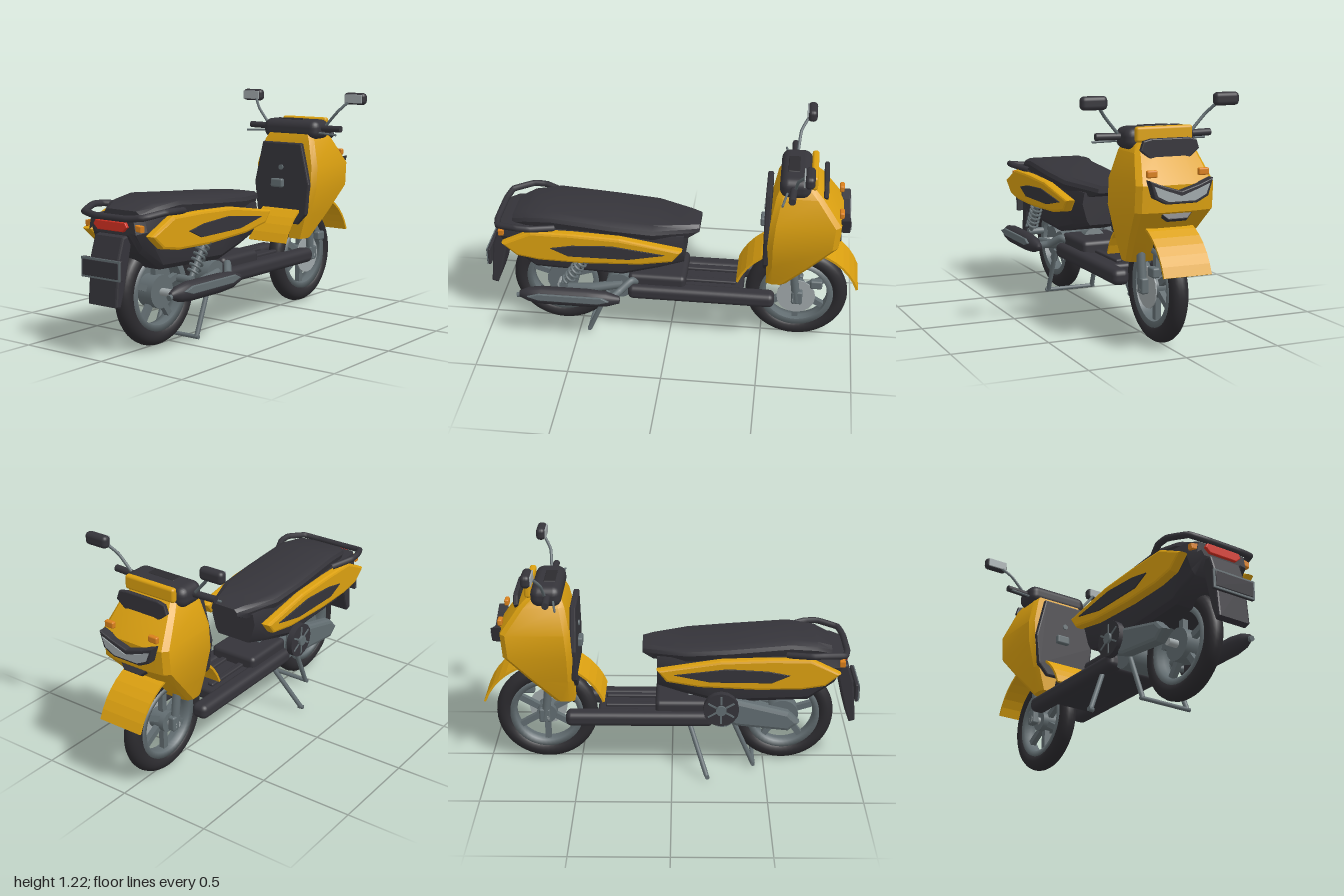
import * as THREE from 'three';
import { toCreasedNormals } from 'three/addons/utils/BufferGeometryUtils.js';
import { RoundedBoxGeometry } from 'three/addons/geometries/RoundedBoxGeometry.js';

const paint = (name, color, side = THREE.FrontSide) => {
  const m = new THREE.MeshStandardMaterial({ color, side });
  m.name = name;
  return m;
};
const V = (p) => new THREE.Vector3(...p);

// Joins rings of [x, y, z] points into a closed solid, facing outward
function loft(rings) {
  const n = rings[0].length, tris = [];
  for (let i = 0; i < rings.length - 1; i++)
    for (let j = 0; j < n; j++) {
      const k = (j + 1) % n, a = rings[i], b = rings[i + 1];
      tris.push([a[j], a[k], b[k]], [a[j], b[k], b[j]]);
    }
  const first = rings[0], last = rings[rings.length - 1];
  for (let j = 1; j < n - 1; j++) tris.push([first[0], first[j + 1], first[j]], [last[0], last[j], last[j + 1]]);
  let volume = 0;
  for (const [a, b, c] of tris) volume += V(a).dot(V(b).cross(V(c)));
  if (volume < 0) tris.forEach((t) => t.reverse());
  const g = new THREE.BufferGeometry();
  g.setAttribute('position', new THREE.Float32BufferAttribute(tris.flat(2), 3));
  g.computeVertexNormals();
  return toCreasedNormals(g, 0.5);
}

// Extrudes an outline, centred on its own thickness, with a small bevel
function plate(points, depth, bevel = 0) {
  const shape = new THREE.Shape(points.map((p) => new THREE.Vector2(...p)));
  const g = new THREE.ExtrudeGeometry(shape, {
    depth: depth - 2 * bevel, bevelEnabled: bevel > 0, bevelThickness: bevel,
    bevelSize: bevel, bevelOffset: -bevel, bevelSegments: 2,
  });
  return g.translate(0, 0, -depth / 2 + bevel);
}
// Outline given as [z, y], thickness along x
const sidePlate = (...args) => plate(...args).rotateY(-Math.PI / 2);
const mirrored = (half) => [...half, ...half.filter((p) => p[0] > 0).map(([x, y]) => [-x, y]).reverse()];

export function createModel() {
  const model = new THREE.Group();
  model.name = 'scooter';
  const yellow = paint('yellow paint', 0xdba010);
  const black = paint('black plastic', 0x35343a);
  const rubber = paint('tyre rubber', 0x2c2b2f);
  const steel = paint('grey steel', 0x626d71);
  const silver = paint('light silver', 0xa0a8aa);
  const red = paint('red lens', 0xd23022);
  const orange = paint('orange lens', 0xd9801c);
  const yellowSheet = paint('yellow sheet', 0xdba010, THREE.DoubleSide);

  const add = (name, mat, geo, x = 0, y = 0, z = 0, parent = model) => {
    const m = new THREE.Mesh(geo, mat);
    m.name = name;
    m.position.set(x, y, z);
    parent.add(m);
    return m;
  };
  const box = (name, mat, w, h, d, x, y, z, r = 0.01) =>
    add(name, mat, new RoundedBoxGeometry(w, h, d, 3, r), x, y, z);
  const rod = (name, mat, a, b, r, r2 = r) => {
    const d = V(b).sub(V(a));
    const m = add(name, mat, new THREE.CylinderGeometry(r2, r, d.length(), 16), ...V(a).addScaledVector(d, 0.5));
    m.quaternion.setFromUnitVectors(new THREE.Vector3(0, 1, 0), d.normalize());
    return m;
  };
  const tube = (name, mat, pts, r, tension = 0.3) =>
    add(name, mat, new THREE.TubeGeometry(new THREE.CatmullRomCurve3(pts.map(V), false, 'catmullrom', tension), 48, r, 10));

  // Wheels
  const wheel = (name, z, spokes, hubRadius) => {
    const g = new THREE.Group();
    g.name = name;
    g.position.set(0, 0.277, z);
    model.add(g);
    add('tyre', rubber, new THREE.TorusGeometry(0.231, 0.046, 16, 48).rotateY(Math.PI / 2), 0, 0, 0, g);
    const profile = [[0.17, -0.035], [0.2, -0.04], [0.205, 0], [0.2, 0.04], [0.17, 0.035], [0.165, 0], [0.17, -0.035]];
    const rim = new THREE.LatheGeometry(profile.map((p) => new THREE.Vector2(...p)), 48).rotateZ(Math.PI / 2);
    add('rim', steel, rim, 0, 0, 0, g);
    for (let i = 0; i < spokes; i++) {
      const a = (i / spokes) * Math.PI * 2;
      add('spoke', steel, new THREE.BoxGeometry(0.03, 0.14, 0.032).translate(0, 0.105, 0).rotateX(a), 0, 0, 0, g);
    }
    add('hub', steel, new THREE.CylinderGeometry(hubRadius, hubRadius, 0.09, 24).rotateZ(Math.PI / 2), 0, 0, 0, g);
    add('axle', silver, new THREE.CylinderGeometry(0.02, 0.02, 0.2, 16).rotateZ(Math.PI / 2), 0, 0, 0, g);
  };
  wheel('frontWheel', -0.685, 6, 0.055);
  wheel('rearWheel', 0.6, 5, 0.085);

  // Front mudguard, an arched strip
  const arc = (r, a0, a1) => Array.from({ length: 17 }, (_, i) => {
    const a = THREE.MathUtils.degToRad(a0 + ((a1 - a0) * i) / 16);
    return [-0.685 + r * Math.cos(a), 0.275 + r * Math.sin(a)];
  });
  add('frontMudguard', yellowSheet, sidePlate([...arc(0.345, 20, 160), ...arc(0.333, 160, 20)], 0.25));

  // Front fork, brake disc and caliper
  for (const s of [-1, 1]) {
    rod('forkLeg', steel, [s * 0.08, 0.26, -0.69], [s * 0.08, 0.56, -0.65], 0.022);
    box('forkFoot', steel, 0.04, 0.08, 0.06, s * 0.08, 0.29, -0.69);
  }
  rod('brakeDisc', silver, [0.052, 0.277, -0.685], [0.058, 0.277, -0.685], 0.105);
  box('brakeCaliper', steel, 0.04, 0.05, 0.065, 0.07, 0.375, -0.79);

  // Leg shield: rows of height, half width, rear z, front z
  const shield = [
    [0.395, 0.13, -0.52, -0.635], [0.53, 0.17, -0.52, -0.76], [0.68, 0.205, -0.52, -0.895],
    [0.81, 0.205, -0.53, -0.905], [0.95, 0.165, -0.555, -0.805], [1.01, 0.13, -0.58, -0.745],
  ];
  add('legShield', yellow, loft(shield.map(([y, w, b, f]) =>
    [[w * 0.9, b], [w, b - 0.03], [w, f + 0.04], [w * 0.88, f + 0.012], [w * 0.45, f]]
      .reduce((ring, [x, z]) => [[-x, y, z], ...ring, [x, y, z]], []))));
  const inner = add('innerShield', black,
    plate(mirrored([[0.11, 0.48], [0.165, 0.54], [0.185, 0.71], [0.13, 0.94]]), 0.032, 0.008), 0, 0, -0.515);
  inner.name = 'innerShield';
  box('bagHook', steel, 0.08, 0.05, 0.03, -0.02, 0.71, -0.49);
  rod('ignition', steel, [0.0, 0.8, -0.5], [0.0, 0.8, -0.492], 0.015);

  // Face of the leg shield
  box('upperVisor', yellow, 0.3, 0.075, 0.035, 0, 1.035, -0.742, 0.014);
  add('windDeflector', black,
    plate(mirrored([[0.1, 0.92], [0.155, 0.965], [0.14, 1.01], [0.1, 1.02]]), 0.024, 0.006), 0, 0, -0.805);
  add('headlightSurround', black,
    plate(mirrored([[0.08, 0.725], [0.14, 0.755], [0.165, 0.84], [0.1, 0.815], [0.0, 0.785]]), 0.05, 0.006), 0, 0, -0.915);
  add('headlightLens', silver,
    plate(mirrored([[0.07, 0.738], [0.125, 0.765], [0.145, 0.815], [0.08, 0.79], [0.0, 0.762]]), 0.008), 0, 0, -0.941);
  const intake = add('lowerIntake', black,
    plate(mirrored([[0.05, -0.025], [0.1, 0.025], [0.0, 0.01]]), 0.03, 0.004), 0, 0.66, -0.878);
  intake.rotation.x = 0.6;
  for (const s of [-1, 1]) box('frontIndicator', orange, 0.055, 0.035, 0.025, s * 0.135, 0.865, -0.892, 0.008);

  // Handlebar, levers and mirrors
  box('handlebarCover', black, 0.37, 0.11, 0.16, 0, 1.01, -0.648, 0.045);
  box('dashboard', rubber, 0.16, 0.012, 0.06, 0, 1.062, -0.635, 0.005);
  for (const s of [-1, 1]) {
    rod('grip', black, [s * 0.17, 1.018, -0.64], [s * 0.308, 1.02, -0.635], 0.018);
    rod('lever', steel, [s * 0.17, 0.995, -0.61], [s * 0.305, 0.99, -0.588], 0.006);
    tube('mirrorStem', steel, [[s * 0.2, 1.035, -0.65], [s * 0.27, 1.115, -0.66], [s * 0.325, 1.178, -0.7]], 0.008);
    box('mirror', black, 0.135, 0.066, 0.05, s * 0.352, 1.188, -0.715, 0.022);
    box('mirrorGlass', silver, 0.112, 0.048, 0.008, s * 0.352, 1.188, -0.69, 0.003);
  }

  // Footboard with side rails reaching past the front wheel
  box('footboard', black, 0.34, 0.07, 0.58, 0, 0.302, -0.11, 0.02);
  for (const s of [-1, 1]) {
    box('footRail', black, 0.09, 0.08, 0.79, s * 0.135, 0.305, -0.175, 0.03);
    box('floorStrip', black, 0.035, 0.02, 0.42, s * 0.055, 0.342, -0.15, 0.008);
  }
  box('batteryBox', black, 0.28, 0.09, 0.31, 0, 0.355, 0.065, 0.025);

  // Rear body: rows of z, half width, bottom, top
  const body = [[-0.08, 0.14, 0.485, 0.66], [0.05, 0.165, 0.45, 0.67], [0.25, 0.185, 0.4, 0.68],
    [0.72, 0.19, 0.42, 0.69], [0.86, 0.18, 0.52, 0.685], [0.91, 0.15, 0.61, 0.675]];
  add('rearBody', black, loft(body.map(([z, w, b, t]) =>
    [[w * 0.7, b], [w * 0.82, b + 0.025], [w, t - 0.06], [w * 0.92, t]]
      .reduce((ring, [x, y]) => [[-x, y, z], ...ring, [x, y, z]], []))));

  // Seat: rows of z, half width, bottom, top
  const seat = [[-0.158, 0.085, 0.665, 0.703], [-0.1, 0.115, 0.64, 0.71], [0.08, 0.18, 0.65, 0.722], [0.3, 0.187, 0.66, 0.738],
    [0.62, 0.18, 0.66, 0.765], [0.76, 0.16, 0.66, 0.748], [0.84, 0.12, 0.66, 0.715]];
  add('seat', black, loft(seat.map(([z, w, b, t]) =>
    [[w * 0.9, b], [w, t - 0.035], [w * 0.95, t - 0.015], [w * 0.75, t]]
      .reduce((ring, [x, y]) => [[-x, y, z], ...ring, [x, y, z]], []))));

  // Yellow side panels with black insets
  const panel = [[0.88, 0.61], [0.72, 0.69], [0.5, 0.69], [0.25, 0.68], [-0.08, 0.625],
    [-0.03, 0.56], [0.14, 0.53], [0.45, 0.515], [0.68, 0.52], [0.8, 0.54]];
  const inset = [[0.615, 0.605], [0.5, 0.628], [0.29, 0.64], [0.01, 0.605], [0.2, 0.565], [0.52, 0.562]];
  for (const s of [-1, 1]) {
    add('sidePanel', yellow, sidePlate(panel, 0.055, 0.014), s * 0.204);
    add('sideInset', black, sidePlate(inset, 0.009, 0.002), s * 0.234);
  }

  // Grab rail
  const rail = [[0.185, 0.7, 0.6], [0.235, 0.715, 0.72], [0.235, 0.718, 0.79], [0.19, 0.7, 0.9], [0.1, 0.69, 0.92]];
  tube('grabRail', black, [...rail, ...rail.map(([x, y, z]) => [-x, y, z]).reverse()], 0.017, 0.1);

  // Tail lights
  add('tailLight', red, plate(mirrored([[0.08, 0.625], [0.108, 0.65], [0.095, 0.672]]), 0.03, 0.004), 0, 0, 0.912);
  for (const s of [-1, 1])
    add('rearIndicator', orange, plate([[0.12, 0.635], [0.178, 0.628], [0.18, 0.658], [0.115, 0.668]].map(([x, y]) => [s * x, y]), 0.03, 0.004), 0, 0, 0.892);

  // Rear flap and number plate holder
  add('rearFlap', black, sidePlate([[0.87, 0.58], [0.9, 0.61], [0.935, 0.6], [0.968, 0.5], [0.988, 0.27], [0.955, 0.26], [0.93, 0.33]], 0.185, 0.01));
  box('plateHolder', black, 0.25, 0.1, 0.016, 0, 0.45, 0.982, 0.005);
  box('plateBack', steel, 0.25, 0.1, 0.006, 0, 0.45, 0.993, 0.002);
  box('plateFace', black, 0.226, 0.078, 0.005, 0, 0.45, 0.9975, 0.002);

  // Exhaust on the left side
  const muffler = add('muffler', black, new THREE.LatheGeometry(
    [[0, 0.245], [0.02, 0.25], [0.042, 0.32], [0.05, 0.42], [0.05, 0.67], [0.04, 0.74], [0.018, 0.79], [0, 0.79]]
      .map((p) => new THREE.Vector2(...p)), 24).rotateX(Math.PI / 2), 0.262, 0.32, 0);
  muffler.scale.x = 0.9;
  add('heatShield', steel, sidePlate([[0.3, 0.335], [0.34, 0.355], [0.68, 0.355], [0.74, 0.335], [0.68, 0.315], [0.36, 0.315]], 0.014, 0.004), 0.307);
  rod('tailPipe', steel, [0.262, 0.315, 0.77], [0.262, 0.31, 0.805], 0.014);
  tube('exhaustPipe', steel, [[0.1, 0.34, 0.15], [0.15, 0.37, 0.2], [0.2, 0.33, 0.26], [0.262, 0.32, 0.3]], 0.02);

  // Engine, swingarms and belt cover
  rod('engine', steel, [-0.13, 0.32, 0.27], [0.13, 0.32, 0.27], 0.075);
  rod('cylinderHead', steel, [0, 0.33, 0.25], [0, 0.37, 0.08], 0.065);
  tube('swingarm', steel, [[0.12, 0.33, 0.25], [0.135, 0.3, 0.42], [0.12, 0.277, 0.6]], 0.026);
  add('beltCover', steel, sidePlate([[0.22, 0.33], [0.24, 0.41], [0.34, 0.43], [0.62, 0.36], [0.68, 0.3], [0.62, 0.25], [0.34, 0.28]], 0.07, 0.02), -0.155);
  rod('fanCover', black, [-0.18, 0.39, 0.26], [-0.214, 0.39, 0.26], 0.095);
  rod('fanHub', steel, [-0.2, 0.39, 0.26], [-0.228, 0.39, 0.26], 0.028);
  for (let i = 0; i < 6; i++)
    add('fanBlade', steel, new THREE.BoxGeometry(0.005, 0.05, 0.01).translate(0, 0.055, 0).rotateX((i * Math.PI) / 3), -0.215, 0.39, 0.26);

  // Rear shock absorber with coil spring
  const low = V([0.195, 0.35, 0.56]), high = V([0.195, 0.55, 0.43]);
  rod('shock', steel, low.toArray(), high.toArray(), 0.014);
  const axis = high.clone().sub(low), side = new THREE.Vector3(1, 0, 0);
  const across = side.clone().cross(axis).normalize();
  const coil = Array.from({ length: 73 }, (_, i) => {
    const a = (i / 72) * Math.PI * 12;
    return low.clone().addScaledVector(axis, 0.15 + (0.75 * i) / 72)
      .addScaledVector(side, 0.03 * Math.cos(a)).addScaledVector(across, 0.03 * Math.sin(a));
  });
  add('spring', steel, new THREE.TubeGeometry(new THREE.CatmullRomCurve3(coil), 180, 0.007, 6));
  rod('shockMount', steel, [0.12, 0.35, 0.56], [0.21, 0.35, 0.56], 0.02);

  // Stands
  for (const s of [-1, 1]) rod('centreStandLeg', steel, [s * 0.13, 0.28, 0.33], [s * 0.135, 0.025, 0.44], 0.013);
  rod('centreStandBar', steel, [-0.15, 0.027, 0.44], [0.15, 0.027, 0.44], 0.011);
  rod('sideStand', steel, [-0.14, 0.27, 0.095], [-0.268, 0.025, 0.185], 0.013);
  rod('sideStandFoot', steel, [-0.255, 0.02, 0.185], [-0.285, 0.02, 0.19], 0.012);

  return model;
}
